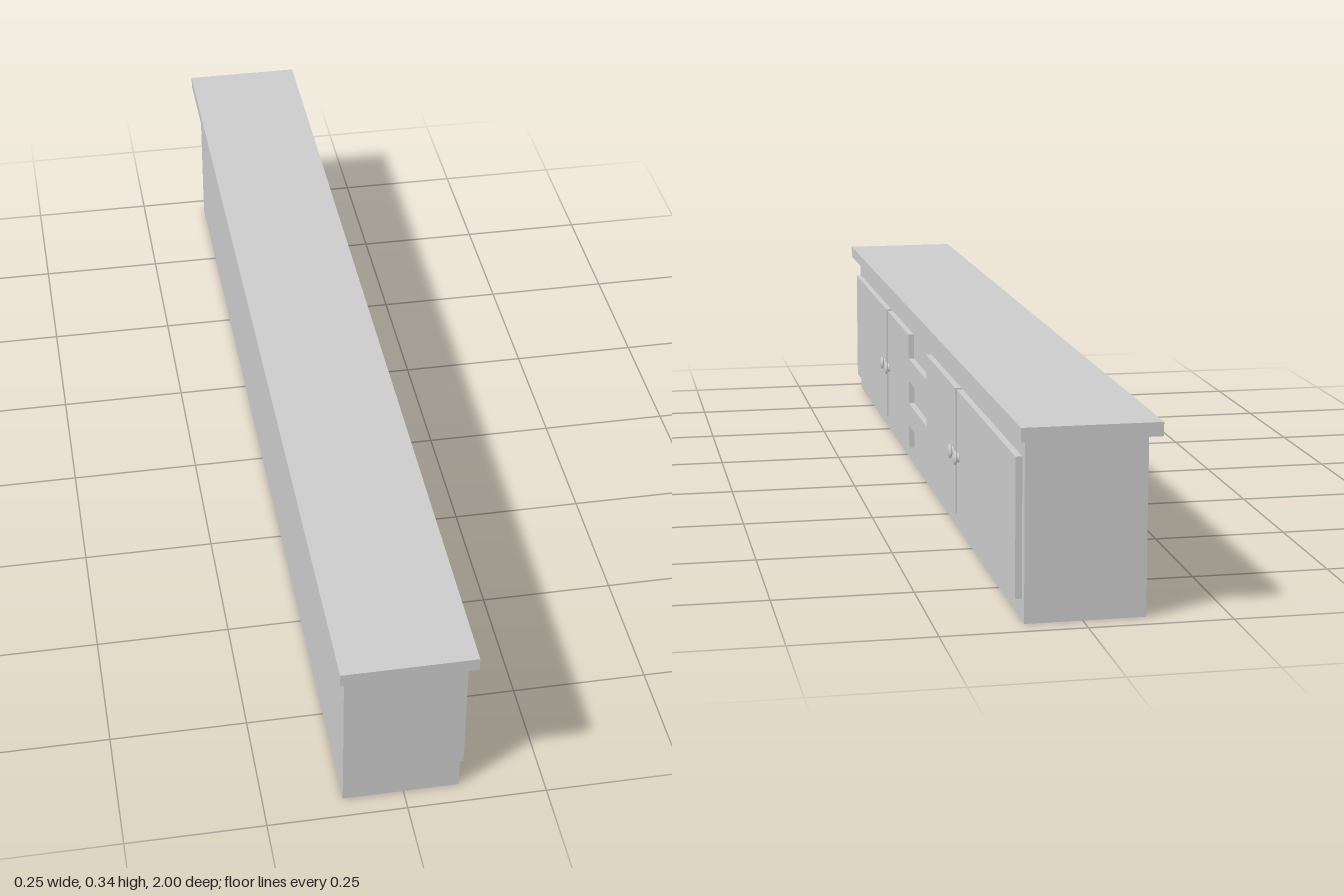
import * as THREE from 'three';

const material = new THREE.MeshStandardMaterial({ color: 0xcccccc });

function add(parent, name, geometry) {
  const mesh = new THREE.Mesh(geometry, material);
  mesh.name = name;
  parent.add(mesh);
  return mesh;
}

// Box given by its min and max corners
function box(parent, name, [x0, y0, z0], [x1, y1, z1]) {
  const mesh = add(parent, name, new THREE.BoxGeometry(x1 - x0, y1 - y0, z1 - z0));
  mesh.position.set((x0 + x1) / 2, (y0 + y1) / 2, (z0 + z1) / 2);
  return mesh;
}

export function createModel() {
  const group = new THREE.Group();
  group.name = 'sideboard';

  const faceX = 0.1, doorX = 0.1115; // carcass face and door face
  const low = 0.038, high = 0.281;   // door bottom and top

  // Carcass and overhanging top
  box(group, 'carcass', [-0.109, 0, -0.96], [faceX, 0.318, 0.96]);
  box(group, 'top', [-0.123, 0.319, -1], [0.115, 0.343, 1]);

  // Outer doors
  box(group, 'leftOuterDoor', [faceX, low, -0.941], [doorX, high, -0.406]);
  box(group, 'rightOuterDoor', [faceX, low, 0.465], [doorX, high, 0.941]);

  // Inner doors joined by two rails: notched above and below, open between (u = -z)
  const a = -0.155, b = 0.064;
  const points = (list) => list.map(([u, y]) => new THREE.Vector2(u, y));
  const front = new THREE.Shape(points([
    [-0.444, low], [a, low], [a, 0.086], [b, 0.086], [b, low], [0.39, low],
    [0.39, high], [b, high], [b, 0.23], [a, 0.23], [a, high], [-0.444, high],
  ]));
  front.holes.push(new THREE.Path(points([[a, 0.134], [a, 0.182], [b, 0.182], [b, 0.134]])));
  const panel = new THREE.ExtrudeGeometry(front, { depth: doorX - faceX, bevelEnabled: false });
  panel.rotateY(Math.PI / 2);
  add(group, 'innerDoorsWithRails', panel).position.x = faceX;

  // Turned knobs, axis pointing out along +x
  const profile = [
    [0, 0], [0.0095, 0], [0.0095, 0.0015], [0.007, 0.003], [0.007, 0.0045], [0.0125, 0.0055],
    [0.0138, 0.007], [0.0125, 0.009], [0.008, 0.0108], [0, 0.0118],
  ];
  const knob = new THREE.LatheGeometry(points(profile), 24);
  knob.rotateZ(-Math.PI / 2);
  for (const z of [0.486, 0.427, -0.372, -0.425]) {
    add(group, 'knob', knob).position.set(doorX, 0.156, z);
  }
  return group;
}
